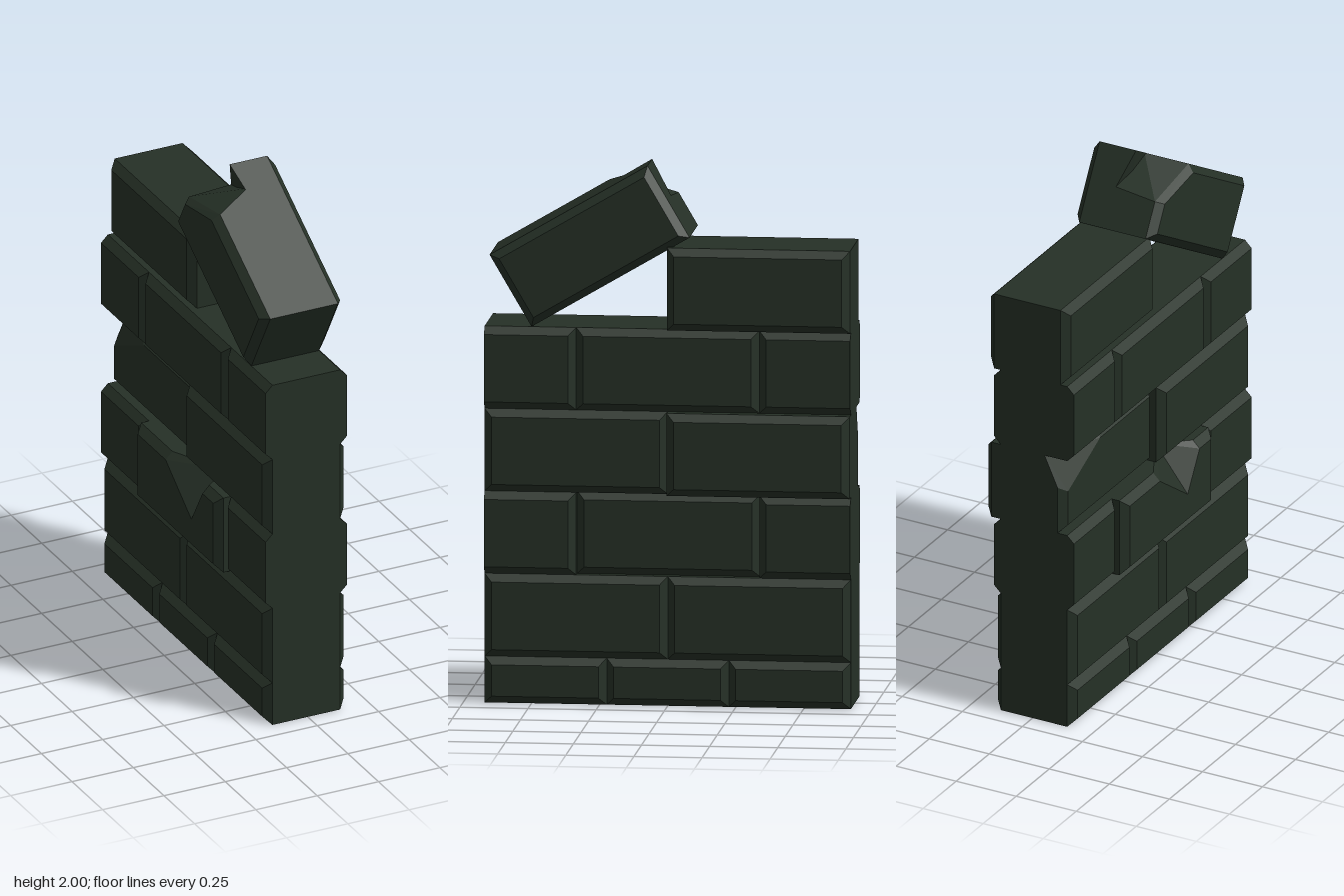
import * as THREE from 'three';
import { ConvexGeometry } from 'three/addons/geometries/ConvexGeometry.js';

const stone = new THREE.MeshStandardMaterial({ color: 0x253026 });
stone.name = 'dark green stone';

const X0 = -0.172, X1 = 0.16; // wall faces
const C = 0.028;              // bevel width
const Z = 0.672;              // half the wall length

function hull(name, points) {
  const mesh = new THREE.Mesh(new ConvexGeometry(points.map((p) => new THREE.Vector3(...p))), stone);
  mesh.name = name;
  return mesh;
}

// One end of a brick: the full core and the inset outer faces.
// inset moves the outer faces inwards along z (0 for a cut end).
function brickEnd(x0, x1, y0, y1, z, inset) {
  const points = [];
  for (const [x, xo] of [[x0 + C, x0], [x1 - C, x1]]) {
    points.push([x, y0, z], [x, y1, z], [xo, y0 + C, z + inset], [xo, y1 - C, z + inset]);
  }
  return points;
}

function brickPoints(dx, y0, y1, z0, z1) {
  const i0 = z0 <= -Z && z1 - z0 < 0.4 && y0 > 0.1 ? 0 : C;
  const i1 = z1 >= Z && z1 - z0 < 0.4 && y0 > 0.1 ? 0 : C;
  return [
    ...brickEnd(X0 + dx, X1 + dx, y0, y1, z0, i0),
    ...brickEnd(X0 + dx, X1 + dx, y0, y1, z1, -i1),
  ];
}

// Brick with its upper back corner broken off
function cornerChippedBrick(dx, y0, y1, z0, z1) {
  const x = X0 + dx;
  const kept = brickPoints(dx, y0, y1, z0, z1).filter(
    (p) => !(p[0] < 0 && p[1] > y1 - 0.1 && p[2] < z0 + 0.1));
  return hull('cornerChippedBrick', [
    ...kept,
    [-0.05, y1, z0], [x + C, y1 - 0.12, z0], [x, y1 - 0.14, z0 + C],
    [x + C, y1, z0 + 0.3], [x, y1 - C, z0 + 0.27],
  ]);
}

// Brick with a V-shaped bite out of one upper edge, made of two halves
function notchedBrick(dx, y0, y1, z0, z1) {
  const group = new THREE.Group();
  group.name = 'notchedBrick';
  const x = X0 + dx, xr = X1 + dx, split = 0.13;
  const middle = [
    [x + C, y0, split], [x, y0 + C, split], [xr - C, y0, split], [xr, y0 + C, split],
    [xr, y1 - C, split], [xr - C, y1, split],
    [x, y0 + 0.13, split], [-0.07, y1, split], // floor of the bite
  ];
  for (const [end, inset, lip] of [[z0, C, -0.08], [z1, -C, 0.22]]) {
    group.add(hull('notchedBrickHalf', [
      ...brickEnd(x, xr, y0, y1, end, inset), ...middle,
      [x + C, y1, lip], [x, y1 - C, lip],
    ]));
  }
  return group;
}

// Loose leaning brick with a broken upper end; its length runs along -z
function looseBrick() {
  const group = new THREE.Group();
  group.name = 'looseBrick';
  const L = 0.672, H = 0.305;
  const ridge = [0, H, -0.557], tip = [-0.02, H, -L], low = [0.04, 0.16, -L];
  // Main body with the sloping break
  group.add(hull('looseBrickBody', [
    ...brickEnd(X0, X1, 0, H, 0, -C),
    [X0 + C, H, -0.475], [X0, H - C, -0.475], ridge, low,
    [X0 + C, 0.14, -L], [X0, 0.14, -L + C],
    [X0 + C, 0, -L], [X0, C, -L + C],
    [X1 - C, 0, -L], [X1, C, -L + C],
    [X1 - C, 0.16, -L], [X1, 0.16, -L + C],
    [X1 - C, H, -0.5], [X1, H - C, -0.5],
  ]));
  // Corner left standing beside the break
  group.add(hull('looseBrickCorner', [
    ridge, tip, low, [0, H, -0.5], [0.04, 0.1, -0.5],
    [X1 - C, H, -0.5], [X1, H - C, -0.5], [X1, 0.1, -0.5],
    [X1 - C, H, -L], [X1, H - C, -L + C],
    [X1 - C, 0.1, -L], [X1, 0.1, -L + C], [0.04, 0.1, -L],
  ]));
  group.position.set(0, 1.393, 0.5);
  group.rotation.x = 0.53;
  return group;
}

export function createModel() {
  const model = new THREE.Group();
  model.name = 'brokenBrickWall';

  // Courses: bottom, top and the joints along z
  const thirds = [-Z, -Z / 3, Z / 3, Z];
  const halves = [-Z, 0, Z];
  const staggered = [-Z, -Z / 2, Z / 2, Z];
  const courses = [
    [0, 0.172, thirds],
    [0.172, 0.478, halves],
    [0.478, 0.783, staggered],
    [0.783, 1.088, halves],
    [1.088, 1.393, staggered],
    [1.393, 1.698, [-Z, 0]],
  ];
  courses.forEach(([y0, y1, joints], row) => {
    for (let i = 0; i < joints.length - 1; i++) {
      const z0 = joints[i], z1 = joints[i + 1];
      if (row === 2 && i === 1) model.add(notchedBrick(-0.032, y0, y1, z0, z1));
      else if (row === 3 && i === 0) model.add(cornerChippedBrick(0.04, y0, y1, z0, z1));
      else model.add(hull('brick', brickPoints(row === 5 ? 0.028 : 0, y0, y1, z0, z1)));
    }
  });

  model.add(looseBrick());
  return model;
}
